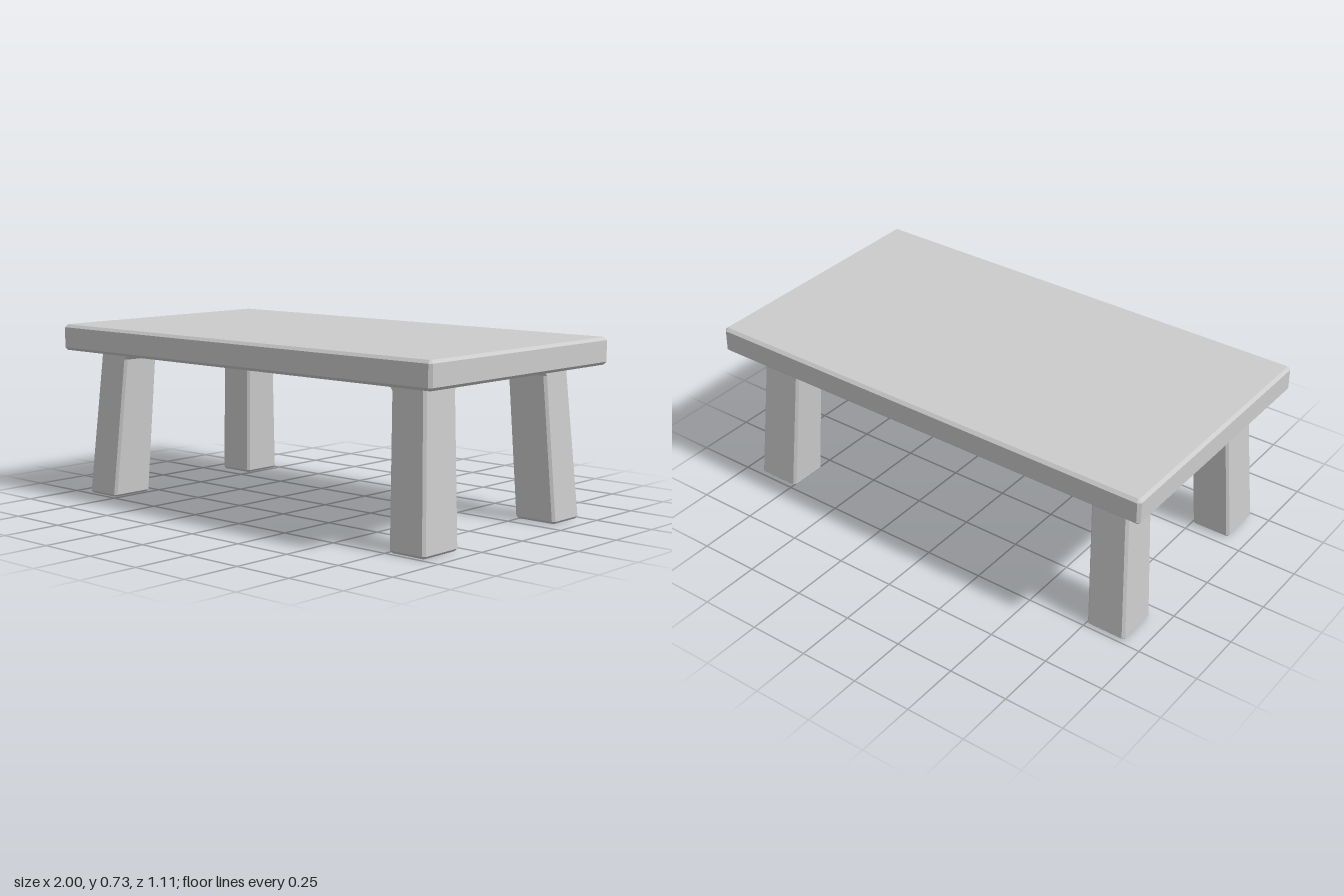
import * as THREE from 'three';

const material = new THREE.MeshStandardMaterial({ color: 0xcccccc, flatShading: true });

// Loft through rectangles with cut corners, listed from bottom to top.
// Each section: [y, x0, x1, z0, z1, corner cut]
function loft(name, sections) {
  const positions = [];
  const index = [];
  for (const [y, x0, x1, z0, z1, c] of sections) {
    positions.push(
      x0 + c, y, z1, x1 - c, y, z1, x1, y, z1 - c, x1, y, z0 + c,
      x1 - c, y, z0, x0 + c, y, z0, x0, y, z0 + c, x0, y, z1 - c
    );
  }
  const last = (sections.length - 1) * 8;
  for (let s = 0; s < last; s += 8) {
    for (let i = 0; i < 8; i++) {
      const j = (i + 1) % 8;
      index.push(s + i, s + j, s + 8 + j, s + i, s + 8 + j, s + 8 + i);
    }
  }
  for (let i = 1; i < 7; i++) {
    index.push(0, i + 1, i, last, last + i, last + i + 1);
  }
  const geometry = new THREE.BufferGeometry();
  geometry.setAttribute('position', new THREE.Float32BufferAttribute(positions, 3));
  geometry.setIndex(index);
  const flat = geometry.toNonIndexed();
  flat.computeVertexNormals();
  const mesh = new THREE.Mesh(flat, material);
  mesh.name = name;
  return mesh;
}

// Centred rectangle section
const centred = (y, hx, hz, c) => [y, -hx, hx, -hz, hz, c];

// Splayed leg in the quadrant (sx, sz); innerX and innerZ are its inner faces at the floor
function leg(name, sx, sz, innerX, innerZ) {
  const section = (y, inset, flare, c) => {
    const t = y / 0.61;
    const xs = [sx * (innerX - 0.032 * t + inset - flare), sx * (0.925 - 0.04 * t - inset)];
    const zs = [sz * (innerZ - 0.025 * t + inset - flare), sz * (0.488 - 0.047 * t - inset)];
    return [y, Math.min(...xs), Math.max(...xs), Math.min(...zs), Math.max(...zs), c];
  };
  return loft(name, [
    section(0, 0.01, 0, 0.004),
    section(0.01, 0, 0, 0.01),
    section(0.585, 0, 0, 0.01),
    section(0.604, 0, 0.016, 0.01), // small flare into the underside
    section(0.62, 0, 0.016, 0.01)
  ]);
}

export function createModel() {
  const table = new THREE.Group();
  table.name = 'table';

  // Thick top with bevelled edges
  table.add(loft('tableTop', [
    centred(0.616, 0.988, 0.541, 0.004),
    centred(0.628, 1, 0.553, 0.012),
    centred(0.713, 1, 0.553, 0.012),
    centred(0.725, 0.988, 0.541, 0.004)
  ]));

  // Shallow panel joining the legs beneath the top
  table.add(loft('undersidePanel', [
    centred(0.602, 0.873, 0.428, 0.004),
    centred(0.613, 0.885, 0.44, 0.01),
    centred(0.62, 0.885, 0.44, 0.01)
  ]));

  // Four slightly uneven legs
  table.add(
    leg('frontLeftLeg', 1, 1, 0.757, 0.287),
    leg('frontRightLeg', -1, 1, 0.757, 0.295),
    leg('backLeftLeg', 1, -1, 0.737, 0.315),
    leg('backRightLeg', -1, -1, 0.757, 0.304)
  );
  return table;
}
